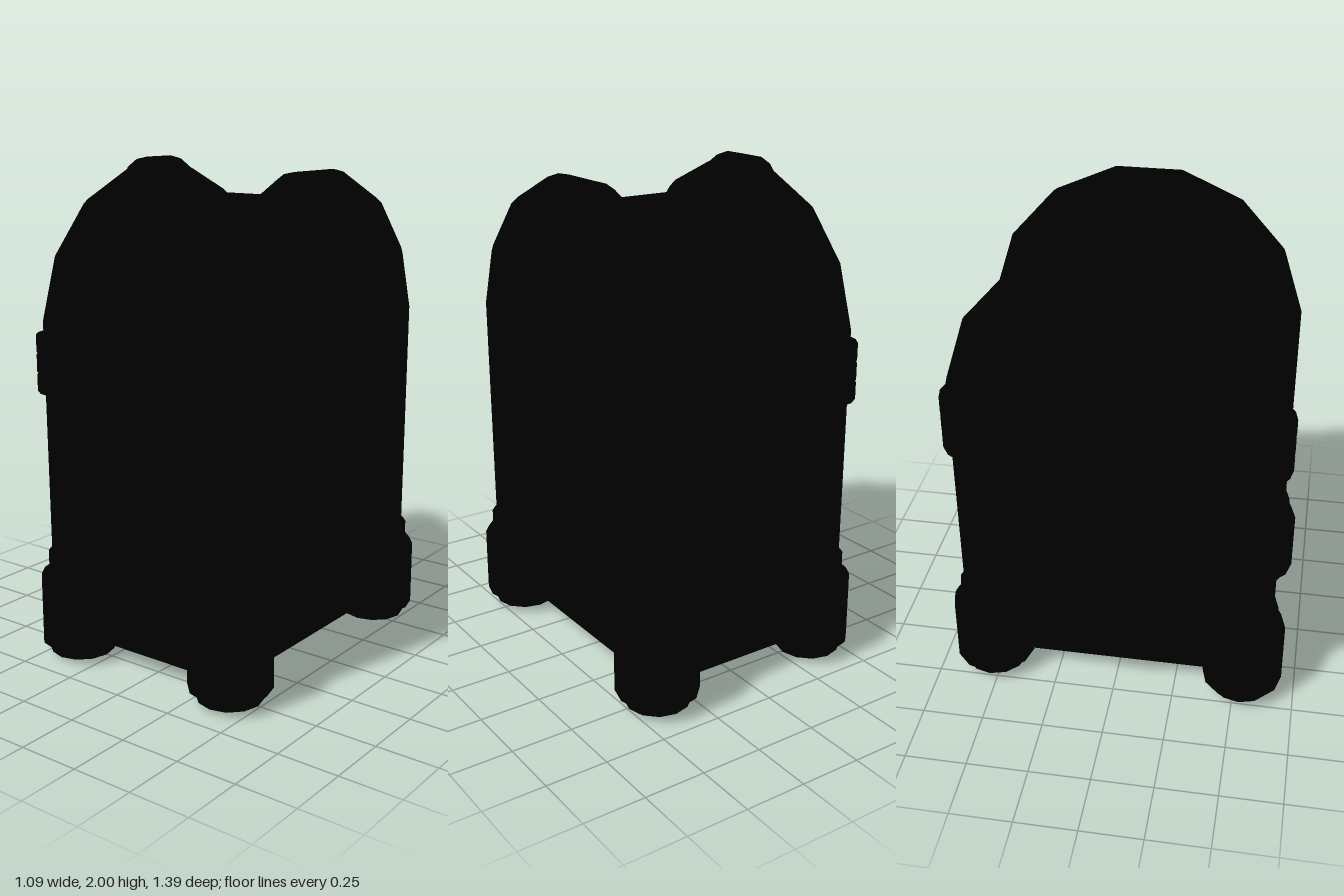
import * as THREE from 'three';
import { ParametricGeometry } from 'three/addons/geometries/ParametricGeometry.js';
import { mergeVertices, toCreasedNormals } from 'three/addons/utils/BufferGeometryUtils.js';

const COL_X = 0.38, COL_Z = 0.53, ARCH_Y = 1.33;
const FACE_X = -0.38; // the decorated face looks toward -x

export function createModel() {
  const root = new THREE.Group();
  root.name = 'jukebox';
  const material = new THREE.MeshStandardMaterial({ color: 0x000000 });

  const add = (name, geometry, x = 0, y = 0, z = 0) => {
    const mesh = new THREE.Mesh(geometry, material);
    mesh.name = name;
    mesh.position.set(x, y, z);
    root.add(mesh);
    return mesh;
  };

  // Outline in the z-y plane, extruded toward -x
  const slab = (shape, depth, bevel = 0) => {
    const g = new THREE.ExtrudeGeometry(shape, {
      depth, curveSegments: 14, bevelEnabled: bevel > 0,
      bevelSize: bevel, bevelThickness: bevel, bevelSegments: 1,
    });
    g.rotateY(-Math.PI / 2);
    return toCreasedNormals(g, 0.6);
  };

  const lathe = (points, sides) => toCreasedNormals(
    new THREE.LatheGeometry(points.map(([r, y]) => new THREE.Vector2(r, y)), sides), 0.7);

  // Cabinet with a rounded top
  const arch = (r, bottom, spring = ARCH_Y, Type = THREE.Shape) => {
    const s = new Type();
    s.moveTo(-r, bottom);
    s.lineTo(r, bottom);
    s.lineTo(r, spring);
    s.absarc(0, spring, r, 0, Math.PI, false);
    s.closePath();
    return s;
  };
  add('cabinet', slab(arch(0.535, 0.07), 2 * COL_X), COL_X);

  // Arched tubes: two columns joined by a coarse half circle
  const rows = [{ y: 0.1, a: 0, r: 0.113 }];
  for (let i = 0; i < 8; i++) rows.push({ a: THREE.MathUtils.degToRad(5.5 + i * 24.14), r: 0.121 });
  rows.push({ y: 0.1, a: Math.PI, r: 0.113 });
  const tubeGeometry = () => {
    const g = new ParametricGeometry((u, v, target) => {
      const row = rows[Math.round(v * (rows.length - 1))];
      const t = u * Math.PI * 2;
      const d = COL_Z - row.r * Math.sin(t);
      const base = row.y === undefined ? ARCH_Y : row.y;
      target.set(row.r * Math.cos(t), base + d * Math.sin(row.a), d * Math.cos(row.a));
    }, 16, rows.length - 1);
    g.deleteAttribute('normal');
    g.deleteAttribute('uv');
    const merged = mergeVertices(g, 1e-4);
    merged.computeVertexNormals();
    return merged;
  };

  // Feet with a domed underside and a collar
  const foot = lathe([
    [0, 0], [0.07, 0.004], [0.13, 0.018], [0.14, 0.05], [0.166, 0.065], [0.166, 0.335],
    [0.152, 0.362], [0.133, 0.368], [0.133, 0.435], [0.125, 0.448], [0.1, 0.45],
  ], 12);
  for (const side of [-1, 1]) {
    add('archTube', tubeGeometry(), side * COL_X);
    for (const end of [-1, 1]) add('foot', foot, side * COL_X, 0, end * COL_Z);
  }

  // Triple rings on the two front columns
  const ring = lathe([
    [0.11, 0], [0.148, 0], [0.148, 0.067], [0.126, 0.067], [0.126, 0.078],
    [0.148, 0.078], [0.148, 0.146], [0.126, 0.146], [0.126, 0.157],
    [0.148, 0.157], [0.148, 0.225], [0.11, 0.225],
  ], 16);
  for (const end of [-1, 1]) add('columnRings', ring, FACE_X, 1.113, end * COL_Z);

  // Clasp over the crown of the front arch
  const clasp = new THREE.CylinderGeometry(0.145, 0.145, 0.15, 16);
  clasp.rotateX(Math.PI / 2);
  add('crownClasp', clasp, FACE_X, 1.855, 0);

  // Display window rim under the arch
  const rim = arch(0.385, 1.36, 1.36);
  rim.holes.push(arch(0.32, 1.4, 1.36 + 0.04, THREE.Path));
  add('windowRim', slab(rim, 0.03, 0.01), FACE_X);

  // Horizontal trim, selector buttons and shelf
  const box = (name, depth, height, width, y, z = 0) =>
    add(name, new THREE.BoxGeometry(depth, height, width), FACE_X - depth / 2 + 0.005, y, z);
  box('upperTrim', 0.07, 0.035, 0.82, 1.35);
  box('lowerTrim', 0.06, 0.03, 0.82, 1.28);
  box('selectorPanel', 0.03, 0.24, 0.7, 1.16);
  for (let i = 0; i < 5; i++) box('selectorButton', 0.05, 0.13, 0.1, 1.17, (i - 2) * 0.13);
  box('shelf', 0.09, 0.04, 0.58, 1.04);
  box('shelfPanel', 0.06, 0.12, 0.54, 0.965);

  // U-shaped lower grille
  const uOutline = (r, top, Type) => {
    const s = new Type();
    s.moveTo(r, top);
    s.lineTo(-r, top);
    s.lineTo(-r, 0.52);
    s.absarc(0, 0.52, r, Math.PI, Math.PI * 2, false);
    s.closePath();
    return s;
  };
  const grille = uOutline(0.32, 0.89, THREE.Shape);
  grille.holes.push(uOutline(0.26, 0.85, THREE.Path));
  add('grilleFrame', slab(grille, 0.025, 0.01), FACE_X);

  const path = new THREE.CurvePath();
  const at = (y, z) => new THREE.Vector3(FACE_X - 0.01, y, z);
  const bend = [];
  for (let i = 0; i <= 12; i++) {
    const a = Math.PI * i / 12;
    bend.push(at(0.52 - 0.2 * Math.sin(a), 0.2 * Math.cos(a)));
  }
  path.add(new THREE.LineCurve3(at(0.86, 0.2), bend[0]));
  path.add(new THREE.CatmullRomCurve3(bend));
  path.add(new THREE.LineCurve3(bend[12], at(0.86, -0.2)));
  add('grilleTube', new THREE.TubeGeometry(path, 40, 0.045, 10));

  // Coin tray at the bottom
  box('coinTray', 0.07, 0.13, 0.18, 0.22);

  return root;
}
